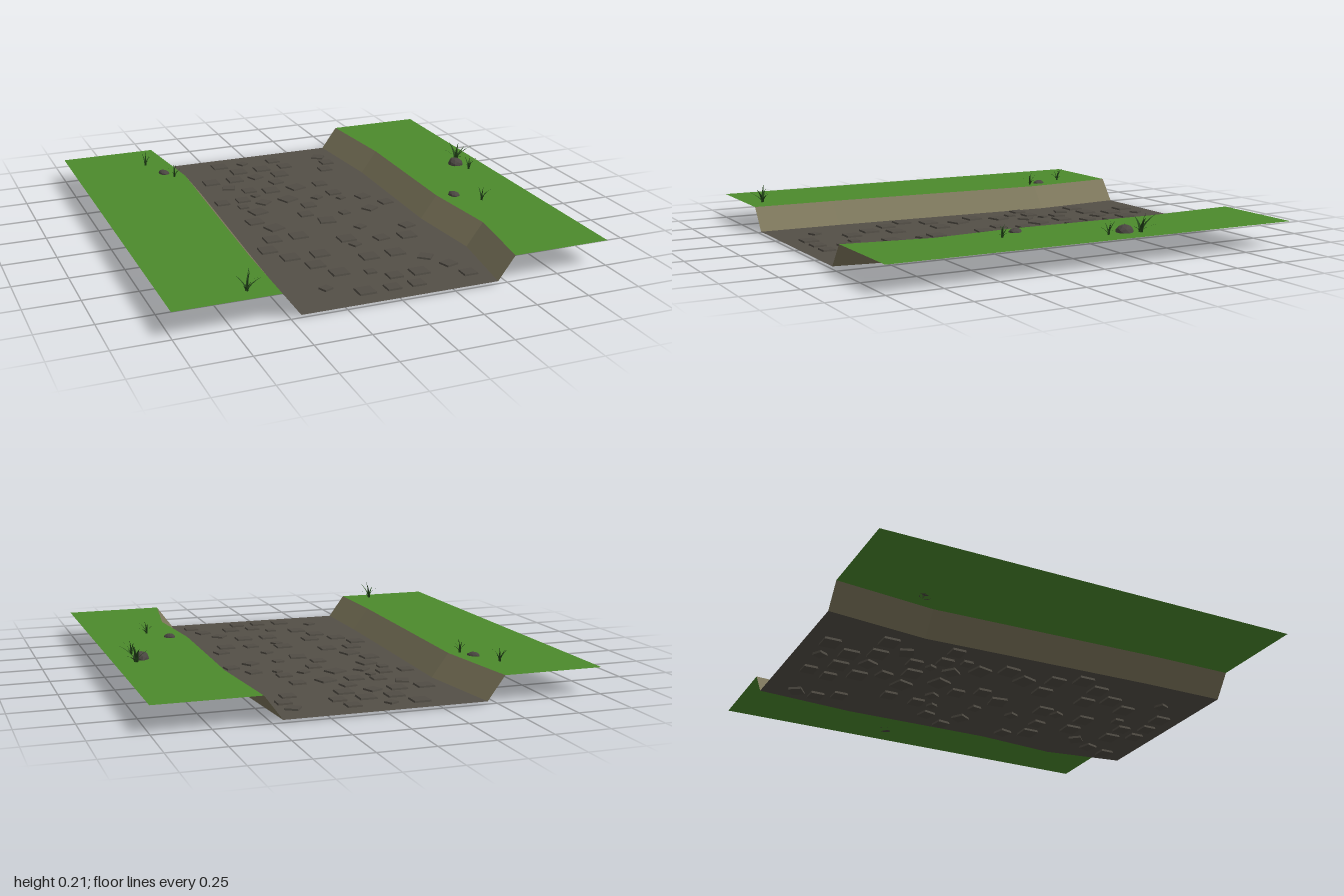
import * as THREE from 'three';

const GROUND = 0.12, BED = 0.012;
const material = (color, flatShading = true) =>
  new THREE.MeshStandardMaterial({ color, flatShading, side: THREE.DoubleSide });

const MATS = {
  grass: material(0x4c8a2c),
  bank: material(0x7d775c),
  road: material(0x544f47),
  slab: material(0x504c44),
  rock: material(0x4a4641),
  blade: material(0x24481a),
};

function named(name, geometry, mat) {
  const mesh = new THREE.Mesh(geometry, mat);
  mesh.name = name;
  return mesh;
}

// Joins two lines of points into a strip of quads, facing up when b lies to +x of a
function strip(a, b) {
  const pos = [], index = [];
  a.forEach((p, i) => {
    pos.push(...p, ...b[i]);
    if (i) {
      const k = 2 * i - 2;
      index.push(k, k + 2, k + 1, k + 1, k + 2, k + 3);
    }
  });
  const g = new THREE.BufferGeometry();
  g.setAttribute('position', new THREE.Float32BufferAttribute(pos, 3));
  g.setIndex(index);
  g.computeVertexNormals();
  return g;
}

// Sunken road: grass, bank, bed, bank, grass, following a slightly winding line
function addTerrain(group) {
  const zs = [-1, -0.53, 0.2, 0.6, 1];
  const leftEdge = [0.535, 0.57, 0.56, 0.595, 0.535];
  const rightEdge = [-0.535, -0.485, -0.515, -0.53, -0.535];
  const line = (xs, dx, y) => zs.map((z, i) => [xs[i] + dx, y, z]);
  const side = (x) => zs.map((z) => [x, GROUND, z]);
  const lines = [
    side(-1),
    line(rightEdge, 0, GROUND),
    line(rightEdge, 0.08, BED),
    line(leftEdge, -0.08, BED),
    line(leftEdge, 0, GROUND),
    side(1),
  ];
  const parts = [['rightGrass', 'grass'], ['rightBank', 'bank'], ['roadBed', 'road'],
    ['leftBank', 'bank'], ['leftGrass', 'grass']];
  parts.forEach(([name, mat], i) => group.add(named(name, strip(lines[i], lines[i + 1]), MATS[mat])));
}

// Paving slabs with slightly narrowed tops, set into the road bed
const slabGeometry = new THREE.BoxGeometry(1, 0.02, 1);
{
  const p = slabGeometry.attributes.position;
  for (let i = 0; i < p.count; i++) {
    if (p.getY(i) > 0) p.setXYZ(i, p.getX(i) * 0.9, p.getY(i), p.getZ(i) * 0.9);
  }
  slabGeometry.computeVertexNormals();
}

// Straight slabs by size: [x, z]
const STRAIGHT = {
  0.083: [[-0.19, -0.89], [-0.12, -0.775], [0.01, -0.775], [-0.31, -0.66], [-0.18, -0.66],
    [0.07, -0.66], [-0.06, -0.44], [-0.285, 0.195], [-0.155, 0.195], [-0.35, 0.31], [0.04, 0.31],
    [0.32, 0.375], [-0.285, 0.425], [-0.145, 0.435], [-0.21, 0.545], [0.05, 0.545], [0.18, 0.545],
    [-0.145, 0.66], [0.185, 0.78], [-0.12, 0.885]],
  0.07: [[0.11, -0.88], [0.375, -0.75], [0.325, -0.65], [-0.24, -0.355], [-0.02, -0.055],
    [0.065, 0.78], [0.005, 0.89], [0.12, 0.89], [0.38, 0.87], [0.14, -0.775], [-0.165, -0.475],
    [0.21, -0.44], [-0.35, -0.35], [0.225, -0.29], [0.04, -0.165]],
  0.05: [[-0.27, -0.26], [-0.015, 0.705]],
};
// Turned slabs by size: [x, z, angle]
const TURNED = {
  0.083: [[0.075, -0.435, 0.3], [-0.025, -0.285, 0.4], [-0.225, -0.17, 0.25],
    [-0.285, -0.05, 0.08], [-0.225, 0.06, 0.3], [0.045, 0.06, -0.15]],
  0.067: [[0.365, -0.85, -0.6], [-0.065, -0.66, 0.4], [-0.25, -0.55, -0.35], [0.01, -0.55, 0.2],
    [-0.155, -0.285, 0.7], [0.34, -0.185, 0.25], [0.305, -0.015, 0.55], [0.415, -0.07, 0.15],
    [0.375, 0.26, 0.25], [0.195, 0.36, 0.15], [0.285, 0.64, -0.7], [0.345, 0.75, 0.3]],
  0.05: [[-0.06, -0.89, 0.5], [0.12, -0.255, 0.55], [0.165, -0.005, 0.2], [0.16, 0.195, 0.45],
    [0.05, 0.39, 0.4], [-0.265, 0.8, 0.4]],
  0.04: [[-0.16, -0.39, 0.4], [0.23, -0.205, 0.4]],
};

function addSlabs(group) {
  const slabs = new THREE.Group();
  slabs.name = 'pavingSlabs';
  for (const table of [STRAIGHT, TURNED]) {
    for (const [size, spots] of Object.entries(table)) {
      for (const [x, z, turn = 0] of spots) {
        const slab = named('pavingSlab', slabGeometry, MATS.slab);
        slab.position.set(x, 0.01, z);
        slab.rotation.y = turn;
        slab.scale.set(+size, 1, size * 0.95);
        slabs.add(slab);
      }
    }
  }
  group.add(slabs);
}

// One tapering grass blade that arches out along +x
function bladeGeometry(reach, height, width) {
  const a = [], b = [];
  for (let i = 0; i <= 4; i++) {
    const t = i / 4, w = width * (1 - t) * 0.5 + 0.0004;
    const x = reach * t ** 1.5, y = height * (1.25 * t - 0.25 * t * t);
    a.push([x, y, w]);
    b.push([x, y, -w]);
  }
  return strip(a, b);
}

function addTuft(group, x, z, reach, height, turn) {
  const tuft = new THREE.Group();
  tuft.name = 'grassTuft';
  const count = 6;
  for (let i = 0; i < count; i++) {
    const r = reach * (i === 5 ? 0.25 : 1 - 0.12 * (i % 3));
    const h = height * (i === 5 ? 1 : 0.55 + 0.16 * ((i * 2) % 3));
    const blade = named('grassBlade', bladeGeometry(r, h, reach * 0.22), MATS.blade);
    blade.rotation.y = turn + i * 1.26 + 0.3 * Math.sin(i * 5);
    tuft.add(blade);
  }
  tuft.position.set(x, GROUND, z);
  group.add(tuft);
}

// Half-buried rock: a faceted dome with a slightly uneven outline
function addRock(group, x, z, rx, h, rz, turn) {
  const g = new THREE.IcosahedronGeometry(1, 1);
  const p = g.attributes.position;
  for (let i = 0; i < p.count; i++) {
    const k = 1 + 0.08 * Math.sin(p.getX(i) * 7 + p.getZ(i) * 5);
    p.setXYZ(i, p.getX(i) * k, Math.max(p.getY(i), 0), p.getZ(i) * k);
  }
  g.computeVertexNormals();
  const rock = named('rock', g, MATS.rock);
  rock.scale.set(rx, h, rz);
  rock.rotation.y = turn;
  rock.position.set(x, GROUND, z);
  group.add(rock);
}

export function createModel() {
  const group = new THREE.Group();
  group.name = 'sunkenRoad';
  addTerrain(group);
  addSlabs(group);

  // Tufts: x, z, reach, height, turn
  [[-0.63, -0.76, 0.042, 0.068, 0.8], [-0.54, -0.535, 0.042, 0.066, 0.4],
    [-0.66, 0.92, 0.066, 0.088, 0.1], [0.73, 0.34, 0.045, 0.062, 0.5],
    [0.89, -0.09, 0.042, 0.066, 0.7], [0.9, -0.25, 0.09, 0.085, 0.6],
  ].forEach((t) => addTuft(group, ...t));

  // Rocks: x, z, half width, height, half depth, turn
  [[-0.575, -0.61, 0.024, 0.016, 0.034, 0.35], [0.64, 0.225, 0.025, 0.018, 0.033, 0.25],
    [0.865, -0.19, 0.037, 0.034, 0.042, 0],
  ].forEach((r) => addRock(group, ...r));
  return group;
}
